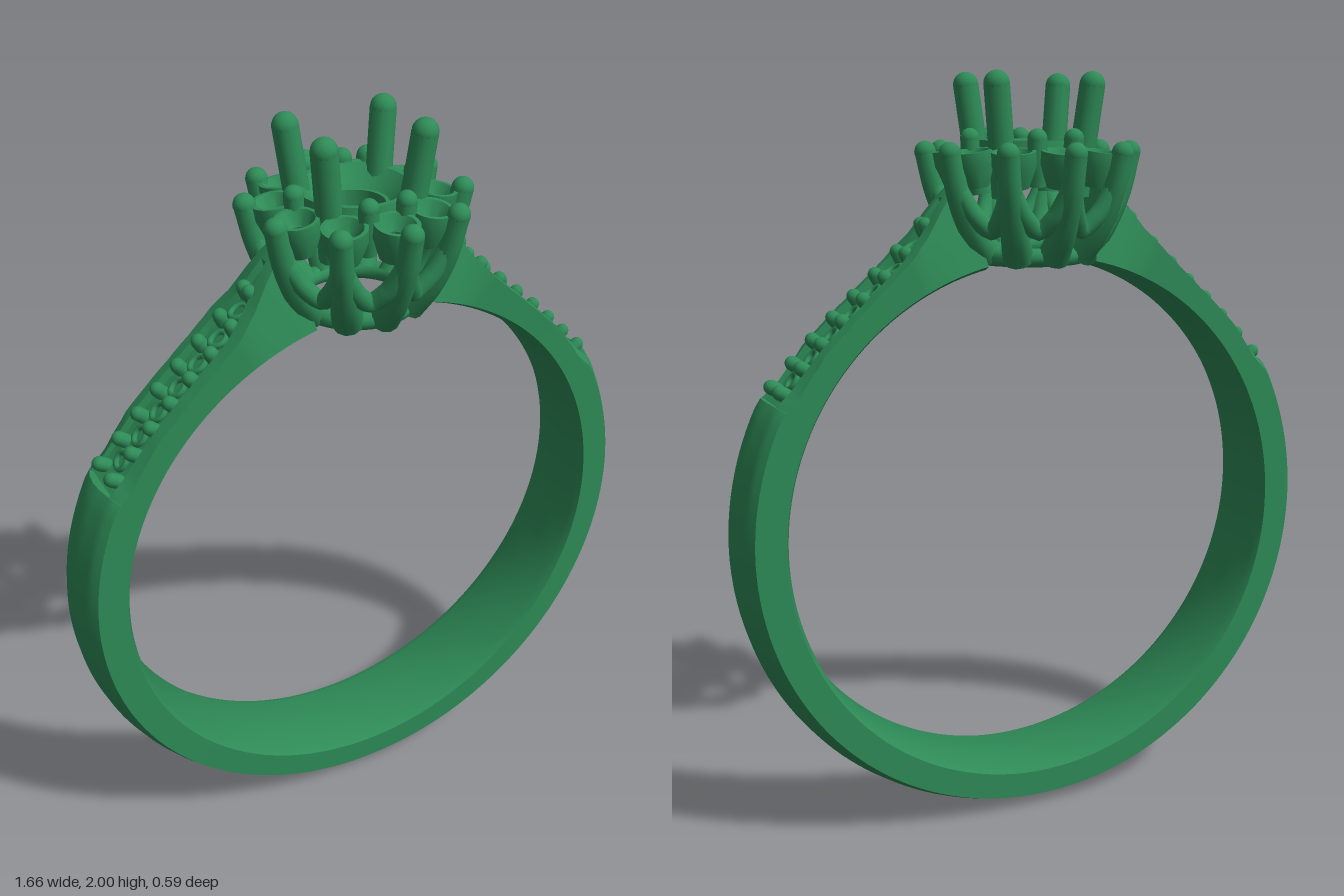
import * as THREE from 'three';
import { toCreasedNormals } from 'three/addons/utils/BufferGeometryUtils.js';

const CY = 0.82; // height of the finger-hole centre
const IN = 0.705; // finger-hole radius
const rad = THREE.MathUtils.degToRad;
const material = new THREE.MeshStandardMaterial({ color: 0x2e8b57 });

// Linear lookup in a short table of [key, value] pairs
function lookup(table, k) {
  for (let i = 1; i < table.length; i++) {
    if (k <= table[i][0]) {
      const [a, u] = table[i - 1], [b, v] = table[i];
      return u + (v - u) * Math.max(0, (k - a) / (b - a));
    }
  }
  return table[table.length - 1][1];
}

// Band measures against elevation in degrees (-90 bottom, 90 top)
const OUTER = [[-90, 0.82], [0, 0.83], [27.9, 0.83], [28.1, 0.822], [32, 0.803], [38, 0.79], [45, 0.784],
  [52, 0.786], [58, 0.796], [63, 0.812], [68.5, 0.845], [73.6, 0.9], [77.5, 0.94]];
const CROWN = [[28, 0.035], [40, 0.01], [77.5, 0.006]];
const TAPER = [[64, 1], [77.5, 0.35]];
const CHANNEL = [[28, 0.66], [62, 0.62], [74, 0.25]];
const halfWidth = (s) => 0.135 - 0.03 * (CY + IN * Math.sin(rad(s)));
const floorRadius = (s) => lookup(OUTER, s) - 0.024;

function add(parent, name, geometry) {
  const mesh = new THREE.Mesh(geometry, material);
  mesh.name = name;
  parent.add(mesh);
  return mesh;
}

// Cross-section of the band as [radius, z] pairs, outer side first
function bandSection(s) {
  const w = halfWidth(s), wo = w * lookup(TAPER, s), c = wo * lookup(CHANNEL, s);
  const R = lookup(OUTER, s), h = lookup(CROWN, s);
  const cut = s > 28 && s < 74;
  const top = (z) => R - h * (z / wo) ** 2;
  const low = (z) => (cut ? floorRadius(s) : top(z));
  const half = [[top(wo), wo], [top((wo + c) / 2), (wo + c) / 2], [top(c), c],
    [low(c), c * 0.99], [low(c / 2), c / 2]];
  const inner = [[IN + 0.01, w], [IN, w - 0.022], [IN, 0], [IN, 0.022 - w], [IN + 0.01, -w]];
  return [...half.map(([r, z]) => [r, -z]), [low(0), 0], ...half.reverse(), ...inner];
}

function bandGeometry() {
  const steps = [];
  for (let s = -90; s < 77.5; s += 2) steps.push(s);
  steps.push(27.98, 28.02, 73.98, 74.02, 77.5);
  steps.sort((a, b) => a - b);
  const stations = [...steps.slice(1).reverse().map((s) => [s, -180 - s]), ...steps.map((s) => [s, s])];
  const pos = [], index = [];
  let n = 0;
  for (const [s, phi] of stations) {
    const section = bandSection(s);
    n = section.length;
    for (const [r, z] of section) pos.push(r * Math.cos(rad(phi)), CY + r * Math.sin(rad(phi)), z);
  }
  const last = (stations.length - 1) * n;
  for (let i = 0; i < last; i += n) {
    for (let j = 0; j < n; j++) {
      const k = (j + 1) % n;
      index.push(i + j, i + n + j, i + n + k, i + j, i + n + k, i + k);
    }
  }
  // End caps
  for (let j = 1; j < n - 1; j++) index.push(0, j, j + 1, last, last + j + 1, last + j);
  const g = new THREE.BufferGeometry();
  g.setAttribute('position', new THREE.Float32BufferAttribute(pos, 3));
  g.setIndex(index);
  return toCreasedNormals(g, 0.5);
}

// Round wire along points, with a radius that changes from start to end
function wireGeometry(points, r0, r1, steps = 14) {
  const curve = new THREE.CatmullRomCurve3(points);
  const g = new THREE.TubeGeometry(curve, steps, 1, 12);
  const p = g.attributes.position, v = new THREE.Vector3();
  for (let i = 0; i < p.count; i++) {
    const t = Math.floor(i / 13) / steps;
    const centre = curve.getPointAt(t);
    v.fromBufferAttribute(p, i).sub(centre).multiplyScalar(r1 + (r0 - r1) * (1 - t) ** 2).add(centre);
    p.setXYZ(i, v.x, v.y, v.z);
  }
  return g;
}

// Wire with a rounded tip at its last point
function prong(parent, name, points, r0, r1) {
  const group = new THREE.Group();
  group.name = name;
  add(group, 'shaft', wireGeometry(points, r0, r1));
  add(group, 'tip', new THREE.SphereGeometry(r1, 16, 12)).position.copy(points[points.length - 1]);
  parent.add(group);
}

const polar = (r, deg, y) => new THREE.Vector3(r * Math.cos(rad(deg)), y, r * Math.sin(rad(deg)));

function lathe(profile, segments) {
  const points = profile.map(([r, y]) => new THREE.Vector2(r, y));
  return toCreasedNormals(new THREE.LatheGeometry(points, segments), 0.5);
}

function createHead() {
  const head = new THREE.Group();
  head.name = 'head';

  // Base ring and central stone seat
  const base = add(head, 'baseRing', new THREE.TorusGeometry(0.145, 0.024, 12, 48));
  base.rotation.x = Math.PI / 2;
  base.position.y = 1.54;
  add(head, 'centreSeat', lathe([[0.075, 1.74], [0.12, 1.74], [0.15, 1.79], [0.145, 1.83], [0.13, 1.83],
    [0.085, 1.785], [0.075, 1.785], [0.075, 1.74]], 48));

  const seat = lathe([[0.022, -0.09], [0.036, -0.09], [0.056, -0.035], [0.056, 0], [0.046, 0],
    [0.024, -0.035], [0.022, -0.035], [0.022, -0.09]], 24);
  for (let i = 0; i < 10; i++) {
    const a = 18 + 36 * i;
    // Outer prong, flared at its foot
    prong(head, 'outerProng', [polar(0.145, a, 1.54), polar(0.2, a, 1.61), polar(0.243, a, 1.7),
      polar(0.268, a, 1.8)], 0.042, 0.028);
    // Gallery wire dipping between neighbouring prongs
    add(head, 'galleryWire', wireGeometry([polar(0.248, a, 1.72), polar(0.215, a + 8, 1.645),
      polar(0.192, a + 18, 1.61), polar(0.215, a + 28, 1.645), polar(0.248, a + 36, 1.72)], 0.024, 0.024, 20));
    // Small stone seat, leaning outward
    const holder = new THREE.Group();
    holder.name = 'haloSeat';
    holder.position.copy(polar(0.2, a, 1.805));
    holder.rotation.y = -rad(a);
    add(holder, 'cup', seat).rotation.z = -0.15;
    head.add(holder);
    // Tall prongs at the four corners, short ones elsewhere
    const b = 36 * i;
    if ([1, 4, 6, 9].includes(i)) {
      prong(head, 'centreProng', [polar(0.125, b, 1.69), polar(0.144, b, 1.82), polar(0.165, b, 1.967)], 0.034, 0.033);
    } else {
      prong(head, 'shortProng', [polar(0.15, b, 1.72), polar(0.16, b, 1.77), polar(0.165, b, 1.835)], 0.024, 0.025);
    }
  }
  return head;
}

// Two rows of beads with small ring seats between them, along one shoulder
function createPave(side) {
  const pave = new THREE.Group();
  pave.name = side > 0 ? 'leftPave' : 'rightPave';
  const bead = new THREE.CapsuleGeometry(0.019, 0.02, 4, 12);
  const ring = new THREE.TorusGeometry(0.023, 0.008, 8, 20);
  const place = (mesh, s, lift, z) => {
    const r = floorRadius(s) + lift;
    mesh.position.set(side * r * Math.cos(rad(s)), CY + r * Math.sin(rad(s)), z);
  };
  for (let i = 0; i < 8; i++) {
    const s = 30.5 + 5.6 * i;
    const z = halfWidth(s) * lookup(TAPER, s) * lookup(CHANNEL, s) * 0.62;
    for (const e of [-1, 1]) {
      const m = add(pave, 'bead', bead);
      place(m, s, 0.012, e * z);
      m.rotation.z = side * (rad(s) - Math.PI / 2);
    }
    if (i < 7) {
      const m = add(pave, 'stoneSeat', ring);
      place(m, s + 2.8, 0.004, 0);
      m.rotation.order = 'ZYX';
      m.rotation.set(Math.PI / 2, 0, side * (rad(s + 2.8) - Math.PI / 2));
    }
  }
  return pave;
}

export function createModel() {
  const model = new THREE.Group();
  model.name = 'ring';
  add(model, 'band', bandGeometry());
  model.add(createHead(), createPave(1), createPave(-1));
  return model;
}
